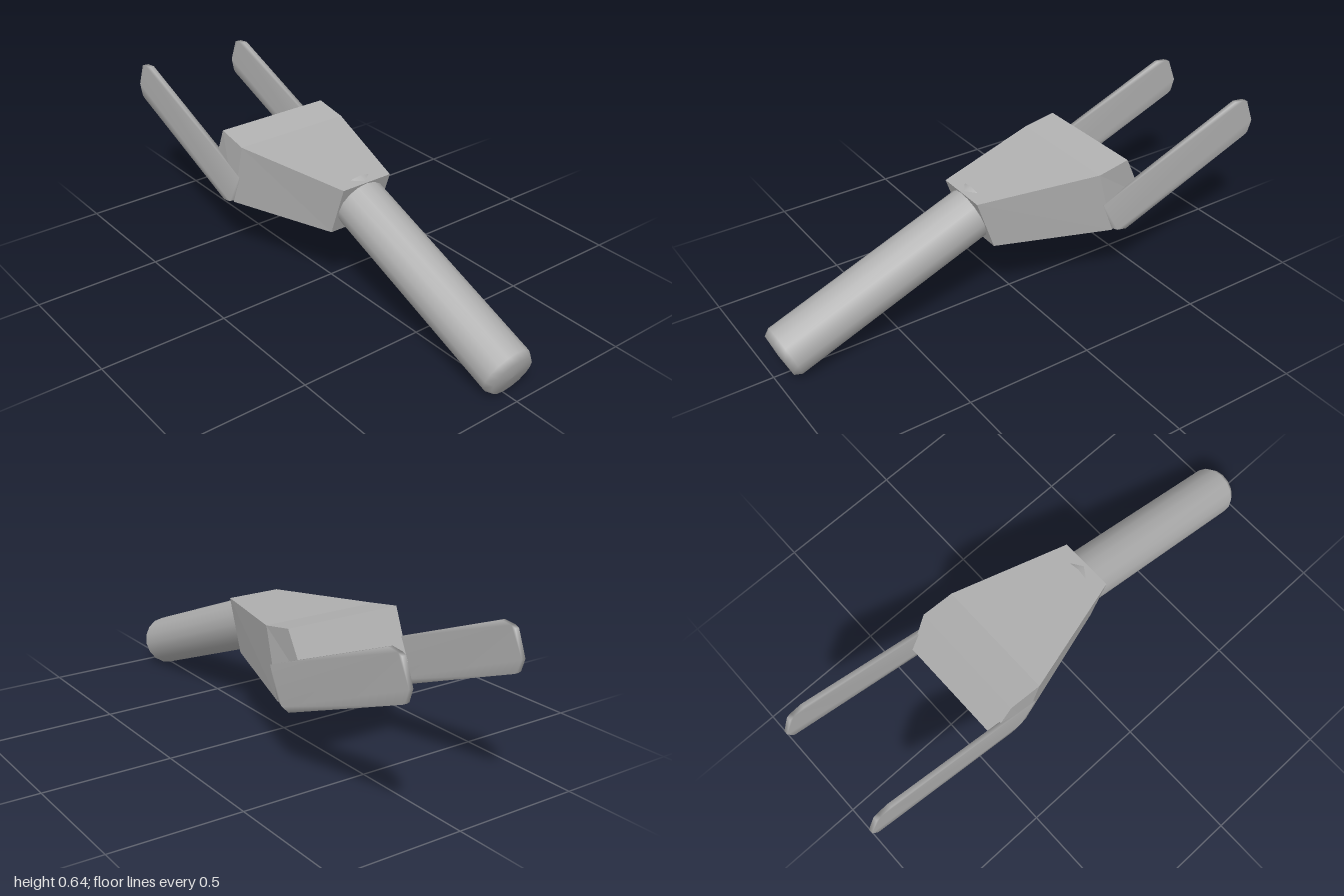
import * as THREE from 'three';
import { mergeVertices } from 'three/addons/utils/BufferGeometryUtils.js';

const grey = new THREE.MeshStandardMaterial({ color: 0xb0b0b0 });
grey.name = 'plain grey';

function part(name, geometry) {
  const mesh = new THREE.Mesh(geometry, grey);
  mesh.name = name;
  return mesh;
}

// Round bar with a chamfered, softly shaded tip, pointing down to the front
function makeHandle() {
  const profile = [[0.1, -0.9], [0.1, -0.03], [0.085, -0.004], [0, 0]]
    .map(([r, y]) => new THREE.Vector2(r, y));
  const handle = part('handle', new THREE.LatheGeometry(profile, 16));
  handle.rotation.x = 1.942;
  handle.position.set(0, 0.097, 0.972);
  return handle;
}

// Faceted block: side profile as [half width, y, z], mirrored across x
function makeBody() {
  const profile = [
    [0.107, 0.505, 0.21],   // front top
    [0.236, 0.541, -0.24],  // shoulder
    [0.234, 0.564, -0.37],  // rear top
    [0.222, 0.38, -0.46],   // rear middle
    [0.236, 0.281, -0.31],  // rear bottom
    [0.107, 0.305, 0.14],   // front bottom
  ];
  const positions = [];
  const quad = (a, b, c, d) => positions.push(...a, ...b, ...c, ...a, ...c, ...d);
  const mirror = ([x, y, z]) => [-x, y, z];
  // Strip across the width
  profile.forEach((p, i) => {
    const q = profile[(i + 1) % profile.length];
    quad(p, q, mirror(q), mirror(p));
  });
  // Two faces on each flank
  for (const [a, b, c, d] of [[0, 5, 4, 1], [1, 4, 3, 2]]) {
    const f = [a, b, c, d].map((i) => profile[i]);
    quad(...f);
    quad(...f.map(mirror).reverse());
  }
  const geometry = new THREE.BufferGeometry();
  geometry.setAttribute('position', new THREE.Float32BufferAttribute(positions, 3));
  geometry.computeVertexNormals();
  return part('body', geometry);
}

// Thin prong outline as [z, y], softly shaded over its edges
function makeProngGeometry() {
  const outline = [
    [-0.265, 0.405], [-0.31, 0.29], [-0.338, 0.272], [-0.38, 0.264],
    [-0.975, 0.495], [-0.985, 0.503], [-1.0, 0.55], [-0.963, 0.643],
    [-0.945, 0.65], [-0.9, 0.655],
  ].map(([z, y]) => new THREE.Vector2(-z, y));
  let geometry = new THREE.ExtrudeGeometry(new THREE.Shape(outline), {
    depth: 0.017, bevelEnabled: false,
  });
  geometry.translate(0, 0, -0.0085);
  geometry.rotateY(Math.PI / 2); // outline runs backwards along -z
  geometry.deleteAttribute('uv');
  geometry.deleteAttribute('normal');
  geometry = mergeVertices(geometry);
  geometry.computeVertexNormals();
  return geometry;
}

export function createModel() {
  const model = new THREE.Group();
  model.name = 'forkedTool';
  model.add(makeHandle(), makeBody());

  const prongGeometry = makeProngGeometry();
  for (const [name, side] of [['leftProng', 1], ['rightProng', -1]]) {
    const prong = part(name, prongGeometry);
    prong.position.x = side * 0.2295;
    model.add(prong);
  }
  return model;
}
